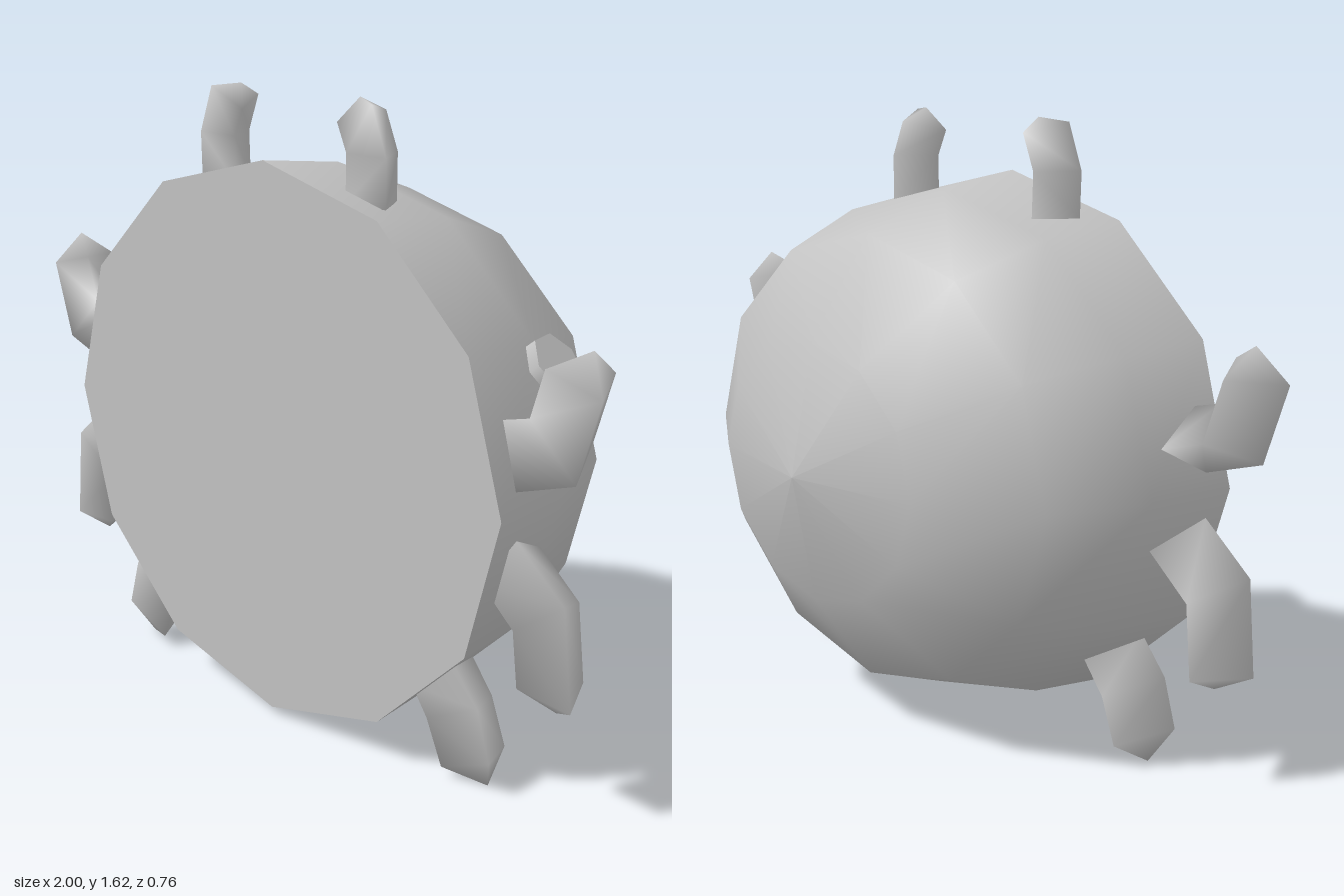
import * as THREE from 'three';

const shellGrey = new THREE.MeshStandardMaterial({ color: 0xc2c2c2 });
shellGrey.name = 'shellGrey';

// Limb outlines on the +x side: [outerX, outerY, innerX, innerY] from root to tip, then the pointed end
const LIMBS = [
  { name: 'horn', zFront: 0.295, zBack: 0.19, tip: [0.215, 1.62],
    rings: [[0.335, 1.37, 0.2, 1.37], [0.337, 1.49, 0.203, 1.49], [0.29, 1.61, 0.172, 1.56]] },
  { name: 'upperLeg', zFront: 0.31, zBack: 0.165, tip: [0.935, 1.14],
    rings: [[0.765, 0.79, 0.722, 0.95], [0.935, 0.845, 0.8, 0.97], [1.0, 1.05, 0.84, 1.09]] },
  { name: 'middleLeg', zFront: 0.31, zBack: 0.165, tip: [0.86, 0.265],
    rings: [[0.77, 0.675, 0.667, 0.54], [0.915, 0.555, 0.765, 0.455], [0.94, 0.305, 0.78, 0.315]] },
  { name: 'lowerLeg', zFront: 0.31, zBack: 0.165, tip: [0.655, 0.0],
    rings: [[0.575, 0.32, 0.445, 0.21], [0.66, 0.22, 0.495, 0.14], [0.7, 0.09, 0.545, 0.027]] },
];

// Three-sided bent limb with a pointed tip; side is +1 or -1
function limbGeometry({ rings, tip, zFront, zBack }, side) {
  const pos = [], index = [];
  const addRing = ([ox, oy, ix, iy]) => pos.push(
    side * ox, oy, zFront, side * ix, iy, zFront, side * (ox + ix) / 2, (oy + iy) / 2, zBack);
  rings.forEach(addRing);
  const apex = pos.length / 3;
  pos.push(side * tip[0], tip[1], (2 * zFront + zBack) / 3);
  const root = apex + 1;
  addRing(rings[0]);

  // Keep the front faces turned towards +z whichever way the limb bends
  const [a, b] = rings;
  const cross = (b[0] - a[0]) * (a[3] - a[1]) - (b[1] - a[1]) * (a[2] - a[0]);
  const flip = cross * side < 0;
  const tri = (p, q, r) => index.push(...(flip ? [p, r, q] : [p, q, r]));

  for (let k = 0; k < rings.length - 1; k++) {
    for (let j = 0; j < 3; j++) {
      const p = k * 3 + j, q = k * 3 + (j + 1) % 3;
      tri(p, p + 3, q);
      tri(q, p + 3, q + 3);
    }
  }
  const last = (rings.length - 1) * 3;
  for (let j = 0; j < 3; j++) tri(last + j, apex, last + (j + 1) % 3);
  tri(root, root + 1, root + 2);

  const geo = new THREE.BufferGeometry();
  geo.setAttribute('position', new THREE.Float32BufferAttribute(pos, 3));
  geo.setIndex(index);
  geo.computeVertexNormals();
  return geo;
}

export function createModel() {
  const model = new THREE.Group();
  model.name = 'domedCreature';
  const add = (name, geo) => {
    const mesh = new THREE.Mesh(geo, shellGrey);
    mesh.name = name;
    model.add(mesh);
    return mesh;
  };
  const widen = 0.785 / 0.72;

  // Rounded back, a twelve-sided dome pointing to -z
  const profile = [[0.72, -0.38], [0.69, -0.13], [0.595, 0.125], [0.342, 0.31], [0, 0.38]]
    .map(([r, h]) => new THREE.Vector2(r, h));
  const dome = new THREE.LatheGeometry(profile, 12);
  dome.rotateX(-Math.PI / 2).scale(widen, 1, 1).translate(0, 0.74, 0);
  add('dome', dome);

  // Flat front face
  const face = new THREE.CircleGeometry(0.72, 12, Math.PI / 2);
  face.scale(widen, 1, 1).translate(0, 0.74, 0.38);
  add('flatFace', face);

  // Horns and legs, mirrored
  for (const limb of LIMBS) {
    add(limb.name + 'Left', limbGeometry(limb, 1));
    add(limb.name + 'Right', limbGeometry(limb, -1));
  }

  // Small tilted disc on the left shoulder
  const disc = add('shoulderDisc', new THREE.CylinderGeometry(0.082, 0.082, 0.03, 7));
  disc.position.set(0.715, 1.035, 0.125);
  disc.quaternion.setFromUnitVectors(
    new THREE.Vector3(0, 1, 0), new THREE.Vector3(0.77, 0.62, -0.15).normalize());

  return model;
}
